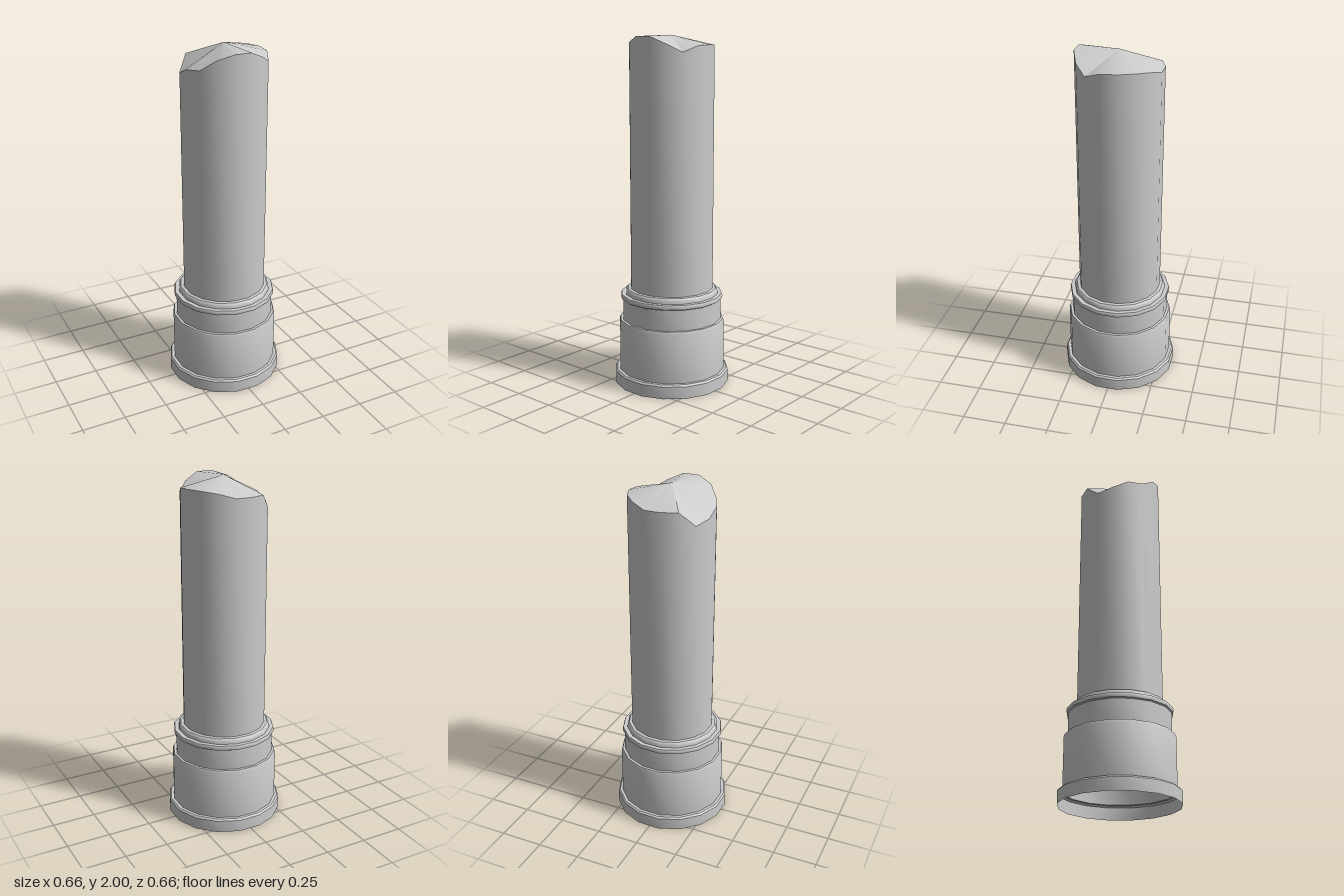
import * as THREE from 'three';
import { toCreasedNormals } from 'three/addons/utils/BufferGeometryUtils.js';

const SIDES = 16;
const TURN = THREE.MathUtils.degToRad(9.7); // angle of the first corner from +z
const material = new THREE.MeshStandardMaterial({ color: 0xcccccc, side: THREE.DoubleSide });

// Sixteen-sided turned form from [radius, height] pairs, bottom to top
function turned(profile) {
  const points = profile.map(([r, y]) => new THREE.Vector2(r, y));
  return new THREE.LatheGeometry(points, SIDES, TURN, Math.PI * 2);
}

function part(name, geometry) {
  const mesh = new THREE.Mesh(toCreasedNormals(geometry, 0.6), material);
  mesh.name = name;
  return mesh;
}

// Hollow plinth foot and drum, open underneath
function createBase() {
  return part('base', turned([
    [0.334, 0], [0.334, 0.07], [0.325, 0.08], [0.308, 0.08],
    [0.308, 0.365], [0.302, 0.38], [0.287, 0.38], [0.287, 0.5],
  ]));
}

// Stepped moulding between the base and the shaft
function createCollar() {
  return part('collar', turned([
    [0.287, 0.5], [0.296, 0.505], [0.298, 0.52], [0.294, 0.53],
    [0.27, 0.53], [0.267, 0.55], [0.258, 0.56], [0.24, 0.562],
  ]));
}

// Straight shaft whose top rim is snapped off unevenly around a central peak
function createShaft() {
  const rim = [
    1.99, 1.95, 1.905, 1.94, 1.945, 1.945, 1.935, 1.91,
    1.91, 1.91, 1.83, 1.85, 1.89, 1.90, 1.96, 1.99,
  ];
  const geometry = turned([[0.24, 0.56], [0.24, 1.9], [0, 2]]);
  const position = geometry.attributes.position;
  for (let i = 0; i <= SIDES; i++) position.setY(i * 3 + 1, rim[i % SIDES]);
  return part('brokenShaft', geometry);
}

export function createModel() {
  const column = new THREE.Group();
  column.name = 'brokenColumn';
  column.add(createBase(), createCollar(), createShaft());
  return column;
}
